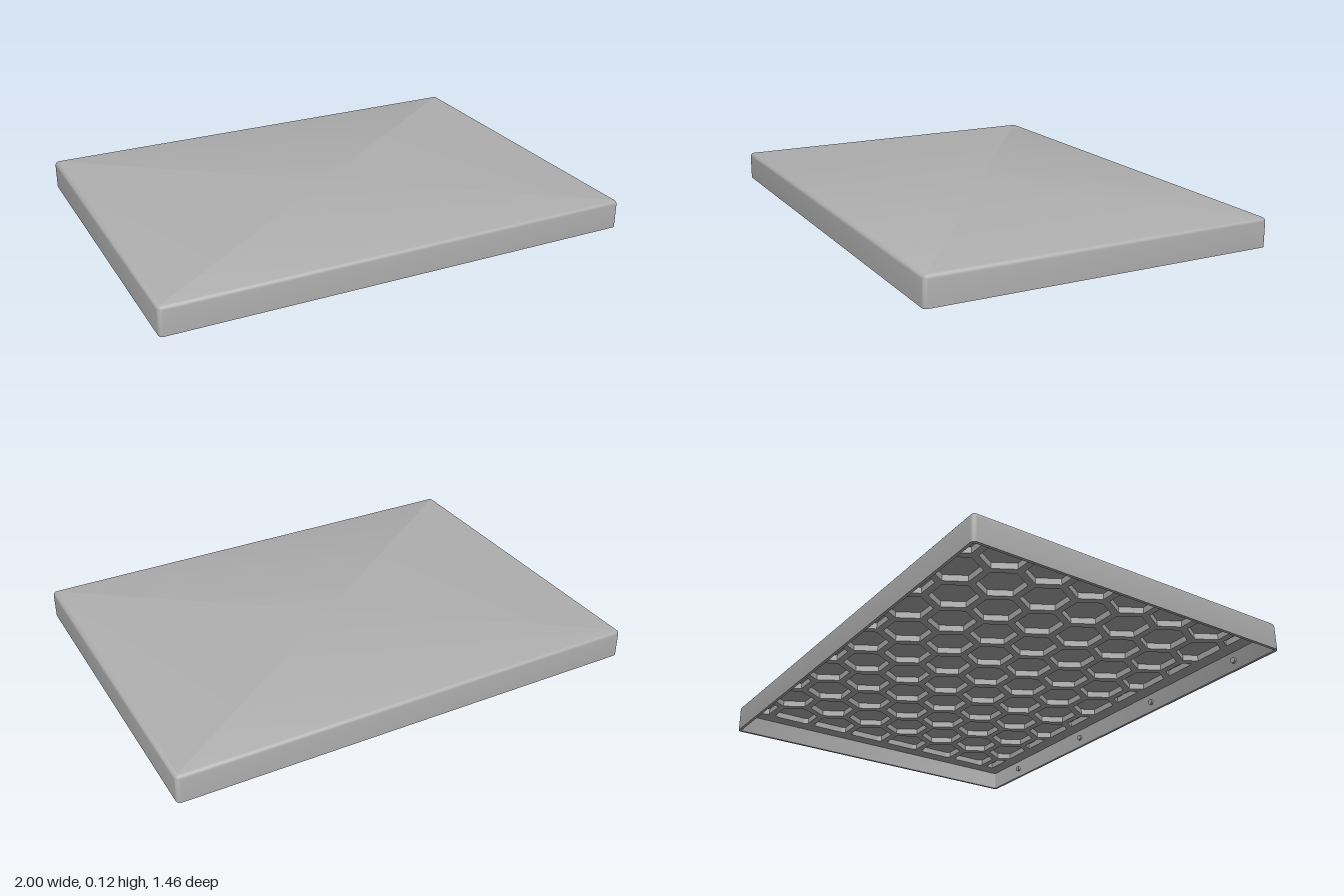
import * as THREE from 'three';
import { toCreasedNormals } from 'three/addons/utils/BufferGeometryUtils.js';

const HX = 1, HZ = 0.73, H = 0.12;      // half width, half depth, height
const WALL = 0.012, EDGE = 0.018;       // wall thickness, edge rounding
const CEILING = 0.108, GRID_DEPTH = 0.026;

// Rounded rectangle of points at a given inset and height
function ring(inset, y) {
  const r = Math.max(EDGE - inset, 0.002), pts = [];
  [[1, 1], [-1, 1], [-1, -1], [1, -1]].forEach(([sx, sz], q) => {
    for (let i = 0; i <= 4; i++) {
      const a = (q + i / 4) * Math.PI / 2;
      pts.push([sx * (HX - inset - r) + r * Math.cos(a), y, sz * (HZ - inset - r) + r * Math.sin(a)]);
    }
  });
  return pts;
}

// Skin consecutive rings, then close the last one with a fan
function shellGeometry(rings) {
  const pos = [], n = rings[0].length;
  for (let k = 0; k < rings.length - 1; k++) {
    for (let i = 0; i < n; i++) {
      const j = (i + 1) % n, a = rings[k], b = rings[k + 1];
      pos.push(...a[i], ...b[i], ...a[j], ...a[j], ...b[i], ...b[j]);
    }
  }
  const top = rings[rings.length - 1];
  for (let i = 0; i < n; i++) pos.push(...top[i], 0, top[i][1], 0, ...top[(i + 1) % n]);
  const g = new THREE.BufferGeometry();
  g.setAttribute('position', new THREE.Float32BufferAttribute(pos, 3));
  return toCreasedNormals(g, 0.6);
}

// Keep the part of a polygon where sign * p[axis] <= limit
function clip(poly, axis, sign, limit) {
  const out = [];
  poly.forEach((p, i) => {
    const q = poly[(i + 1) % poly.length];
    const dp = sign * p[axis] - limit, dq = sign * q[axis] - limit;
    if (dp <= 0) out.push(p);
    if (dp * dq < 0) {
      const t = dp / (dp - dq);
      out.push([p[0] + (q[0] - p[0]) * t, p[1] + (q[1] - p[1]) * t]);
    }
  });
  return out;
}

// Panel with hexagonal pockets, trimmed to a rectangular field
function honeycombGeometry() {
  const x = HX - WALL, z = HZ - WALL;
  const shape = new THREE.Shape([[-x, -z], [x, -z], [x, z], [-x, z]].map(p => new THREE.Vector2(...p)));
  const pitch = 0.2, radius = 0.098, step = pitch * Math.sqrt(3) / 2;
  for (let c = -6; c <= 6; c++) {
    for (let r = -5; r <= 5; r++) {
      const cx = c * step, cz = (r + (c % 2 ? 0.5 : 0)) * pitch;
      let hex = Array.from({ length: 6 }, (_, i) => [
        cx + radius * Math.cos(i * Math.PI / 3), cz + radius * Math.sin(i * Math.PI / 3)]);
      for (const s of [1, -1]) hex = clip(clip(hex, 0, s, 0.925), 1, s, 0.655);
      const pts = hex.map(p => new THREE.Vector2(...p));
      if (pts.length > 2 && Math.abs(THREE.ShapeUtils.area(pts)) > 0.001) shape.holes.push(new THREE.Path(pts));
    }
  }
  return new THREE.ExtrudeGeometry(shape, { depth: GRID_DEPTH, bevelEnabled: false })
    .rotateX(Math.PI / 2).translate(0, CEILING, 0);
}

export function createModel() {
  const model = new THREE.Group();
  model.name = 'coverPanel';
  const grey = new THREE.MeshStandardMaterial({ color: 0xb0b0b0 });
  grey.name = 'grey';
  const add = (geometry, name) => {
    const mesh = new THREE.Mesh(geometry, grey);
    mesh.name = name;
    model.add(mesh);
    return mesh;
  };

  // Thin shell: inner wall, rim, outer wall, rounded top edge, lid
  const rings = [ring(WALL, CEILING), ring(WALL, 0), ring(0, 0)];
  for (let i = 0; i <= 5; i++) {
    const a = i / 5 * Math.PI / 2;
    rings.push(ring(EDGE * (1 - Math.cos(a)), H - EDGE + EDGE * Math.sin(a)));
  }
  add(shellGeometry(rings), 'shell');

  // Underside: pocket floor and honeycomb grid
  add(new THREE.BoxGeometry(2 * (HX - WALL), 0.006, 2 * (HZ - WALL)), 'pocketFloor').position.y = CEILING + 0.003;
  add(honeycombGeometry(), 'honeycombGrid');

  // Small catches inside the long walls
  const catchGeometry = new THREE.CylinderGeometry(0.012, 0.012, 0.012, 16).rotateX(Math.PI / 2);
  for (const side of [1, -1]) {
    for (const x of [-0.77, -0.257, 0.257, 0.77]) {
      add(catchGeometry, 'wallCatch').position.set(x, 0.042, side * (HZ - WALL - 0.004));
    }
  }
  return model;
}
